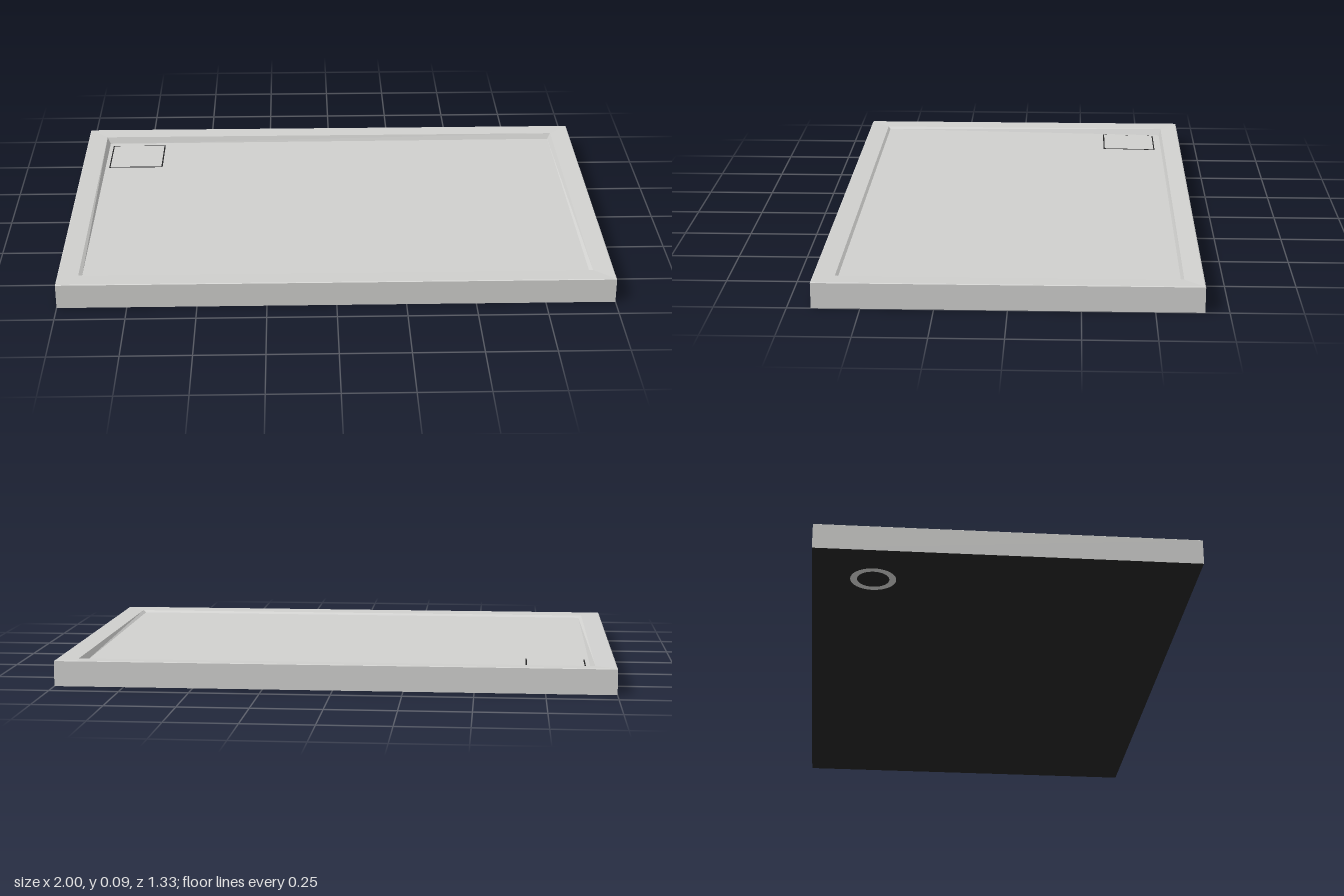
import * as THREE from 'three';

const W = 1, D = 0.667, H = 0.093;            // half width, half depth, height
const FX = 0.913, FB = -0.59, FF = 0.583;     // floor limits: half width, back, front
const DRAIN = { x: -0.79, z: -0.455, half: 0.108 };

// Floor height: nearly flush at the front, lowest at the drain corner
function floorY(x, z) {
  const back = (FF - z) / (FF - FB);
  const left = (FX - x) / (2 * FX);
  return 0.082 - 0.014 * back - 0.004 * back * left;
}

// Rectangular loop of corners, counter-clockwise from above
function loop(hx, zb, zf, y) {
  return [[-hx, zf], [hx, zf], [hx, zb], [-hx, zb]].map(([x, z]) =>
    [x, typeof y === 'function' ? y(x, z) : y, z]);
}

// Bands of flat quads joining successive loops
function bands(loops) {
  const pos = [];
  for (let l = 0; l < loops.length - 1; l++) {
    for (let i = 0; i < 4; i++) {
      const j = (i + 1) % 4, a = loops[l], b = loops[l + 1];
      pos.push(...a[i], ...a[j], ...b[j], ...a[i], ...b[j], ...b[i]);
    }
  }
  const g = new THREE.BufferGeometry();
  g.setAttribute('position', new THREE.Float32BufferAttribute(pos, 3));
  g.computeVertexNormals();
  return g;
}

// Upward-facing patch that follows the floor at a given lift
function patch(x0, x1, z0, z1, lift, n) {
  const g = new THREE.PlaneGeometry(x1 - x0, z1 - z0, n, n);
  g.rotateX(-Math.PI / 2);
  g.translate((x0 + x1) / 2, 0, (z0 + z1) / 2);
  const p = g.attributes.position;
  for (let i = 0; i < p.count; i++) p.setY(i, floorY(p.getX(i), p.getZ(i)) + lift);
  g.computeVertexNormals();
  return g;
}

export function createModel() {
  const group = new THREE.Group();
  const stone = new THREE.MeshStandardMaterial({ color: 0xd0d0ce });
  stone.name = 'pale grey stone';
  const dark = new THREE.MeshStandardMaterial({ color: 0x242424 });
  dark.name = 'black underside';

  const add = (name, geometry, material) => {
    const mesh = new THREE.Mesh(geometry, material);
    mesh.name = name;
    group.add(mesh);
    return mesh;
  };

  // Outer sides, gently inward-sloping rim and basin walls
  add('trayRim', bands([
    loop(W, -D, D, 0),
    loop(W, -D, D, H - 0.002),
    loop(W - 0.003, -D + 0.003, D - 0.003, H),
    loop(0.925, -0.598, 0.592, H - 0.003),
    loop(FX, FB, FF, floorY),
  ]), stone);

  // Sloping shower floor
  add('basinFloor', patch(-FX, FX, FB, FF, 0, 16), stone);

  // Square drain cover with a dark gap around it
  const { x, z, half } = DRAIN, gap = 0.005, c = half - gap;
  add('drainGap', patch(x - half, x + half, z - half, z + half, 0.0012, 2), dark);
  add('drainCover', patch(x - c, x + c, z - c, z + c, 0.0024, 2), stone);

  // Underside
  const base = new THREE.PlaneGeometry(2 * W, 2 * D);
  base.rotateX(Math.PI / 2);
  add('underside', base, dark).position.y = 0.002;

  // Drain outlet ring below the cover
  const ring = new THREE.RingGeometry(0.056, 0.08, 40);
  ring.rotateX(Math.PI / 2);
  add('drainOutletRing', ring, stone).position.set(x, 0, z);

  return group;
}
